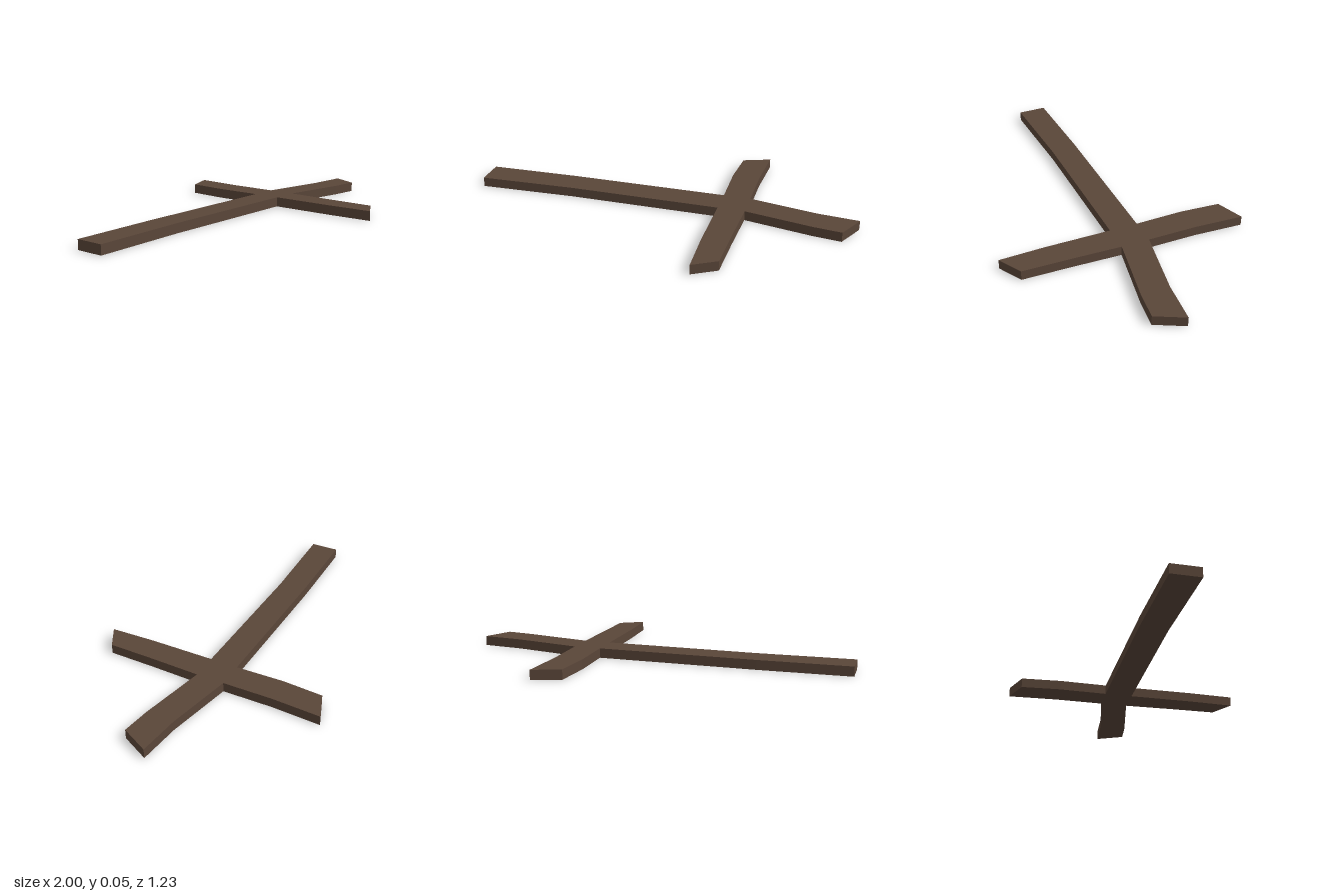
import * as THREE from 'three';

const THICKNESS = 0.05;

// Outline of the crooked cross seen from above, as [x, z]
const OUTLINE = [
  // long shaft, front edge
  [-1, 0.06], [-0.5, 0.04], [0.295, 0.04],
  // front arm
  [0.295, 0.38], [0.303, 0.615], [0.423, 0.545], [0.427, 0.3], [0.435, 0.04],
  // bent head
  [0.785, 0.105], [0.93, 0.122], [1, -0.021], [0.785, -0.04], [0.435, -0.105],
  // back arm
  [0.433, -0.36], [0.446, -0.615], [0.303, -0.562], [0.289, -0.355], [0.295, -0.105],
  // long shaft, back edge
  [-0.53, -0.102], [-1, -0.088],
];

export function createModel() {
  const darkWood = new THREE.MeshStandardMaterial({ color: 0x5a4639 });
  darkWood.name = 'darkWood';

  // Flat plank cross lying on the ground
  const shape = new THREE.Shape(OUTLINE.map(([x, z]) => new THREE.Vector2(x, -z)));
  const geometry = new THREE.ExtrudeGeometry(shape, { depth: THICKNESS, bevelEnabled: false });
  geometry.rotateX(-Math.PI / 2);

  const cross = new THREE.Mesh(geometry, darkWood);
  cross.name = 'woodenCross';

  const model = new THREE.Group();
  model.name = 'crookedWoodenCross';
  model.add(cross);
  return model;
}
